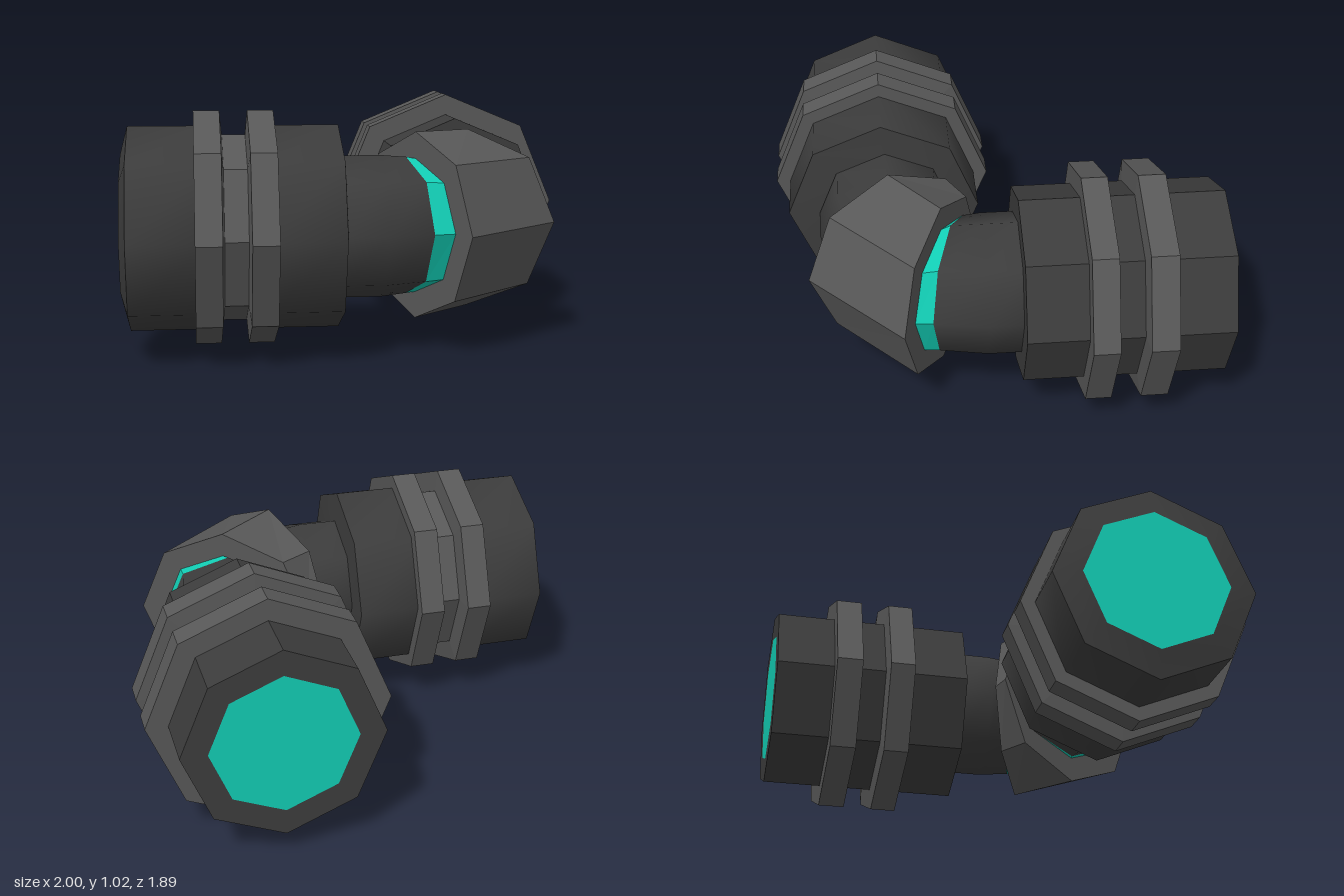
import * as THREE from 'three';
import { toCreasedNormals } from 'three/addons/utils/BufferGeometryUtils.js';

const SIDES = 8;
const darkFlat = new THREE.MeshStandardMaterial({ color: 0x3c3c3c, flatShading: true });
const dark = new THREE.MeshStandardMaterial({ color: 0x3c3c3c });
const grey = new THREE.MeshStandardMaterial({ color: 0x585858, flatShading: true });
const teal = new THREE.MeshStandardMaterial({ color: 0x12cdb4, flatShading: true });

// Octagonal section: centre (x, y, z), heading (dx, dz) of its outer corner, radius
const section = (x, y, z, dx, dz, r) => {
  const l = Math.hypot(dx, dz);
  return { x, y, z, dx: dx / l, dz: dz / l, r };
};

// Skin a run of sections
function loft(name, sections, material) {
  const pos = [], idx = [];
  for (const s of sections) {
    for (let j = 0; j < SIDES; j++) {
      const a = (j / SIDES) * Math.PI * 2, c = Math.cos(a) * s.r;
      pos.push(s.x + s.dx * c, s.y + Math.sin(a) * s.r, s.z + s.dz * c);
    }
  }
  for (let i = 0; i < sections.length - 1; i++) {
    for (let j = 0; j < SIDES; j++) {
      const k = (j + 1) % SIDES;
      const a = i * SIDES + j, b = a + SIDES, c = i * SIDES + k, d = c + SIDES;
      if (sections[i].r > 0) idx.push(a, d, c);
      if (sections[i + 1].r > 0) idx.push(a, b, d);
    }
  }
  let geo = new THREE.BufferGeometry();
  geo.setAttribute('position', new THREE.Float32BufferAttribute(pos, 3));
  geo.setIndex(idx);
  geo = material.flatShading ? geo.toNonIndexed() : toCreasedNormals(geo, 0.9);
  if (material.flatShading) geo.computeVertexNormals();
  const mesh = new THREE.Mesh(geo, material);
  mesh.name = name;
  return mesh;
}

// Sections along each arm, from [position, radius] pairs
const alongX = (profile) => profile.map(([x, r]) => section(x, 0.52, 0.455, 0, 1, r));
const alongZ = (profile) => profile.map(([z, r]) => section(0.49, 0.51, z, 1, 0, r));

export function createModel() {
  const model = new THREE.Group();
  const Y = 0.515;

  // Right-hand arm, running along x
  const sideArm = new THREE.Group();
  sideArm.name = 'sideCoupling';
  sideArm.add(
    loft('outerSleeve', alongX([[-1, 0.31], [-0.97, 0.428], [-0.65, 0.428], [-0.65, 0]]), dark),
    loft('innerSleeve', alongX([[-0.42, 0], [-0.42, 0.428], [-0.1, 0.428], [-0.085, 0.29]]), dark),
    loft('groove', alongX([[-0.65, 0.39], [-0.42, 0.39]]), grey),
    loft('outerFlange', alongX([[-0.7, 0.4], [-0.7, 0.49], [-0.592, 0.49], [-0.582, 0.38]]), grey),
    loft('innerFlange', alongX([[-0.488, 0.38], [-0.478, 0.49], [-0.37, 0.49], [-0.37, 0.4]]), grey),
    loft('endDisc', alongX([[-1, 0], [-1, 0.31]]), teal),
  );

  // Rear arm, running along z
  const rearArm = new THREE.Group();
  rearArm.name = 'rearCoupling';
  rearArm.add(
    loft('sleeve', alongZ([[-0.09, 0.28], [-0.09, 0.416], [-0.95, 0.416], [-0.95, 0.305]]), darkFlat),
    loft('innerFlange', alongZ([[-0.345, 0.4], [-0.345, 0.51], [-0.455, 0.51], [-0.465, 0.4]]), grey),
    loft('outerFlange', alongZ([[-0.57, 0.4], [-0.58, 0.51], [-0.695, 0.51], [-0.695, 0.4]]), grey),
    loft('endDisc', alongZ([[-0.95, 0.305], [-0.95, 0]]), teal),
  );

  // Elbow: necks, wedge-shaped coloured bands and the bent collar
  const neckA = section(0.19, Y, 0.427, 0.278, 0.96, 0.292);
  const neckB = section(0.475, Y, 0.188, 0.949, 0.316, 0.292);
  const endA = section(0.23, Y, 0.435, 0.36, 0.71, 0.285);
  const endB = section(0.49, Y, 0.2275, 0.7, 0.345, 0.285);
  const elbow = new THREE.Group();
  elbow.name = 'elbow';
  elbow.add(
    loft('sideNeck', [section(-0.1, Y, 0.4425, 0, 1, 0.302), section(0.08, Y, 0.4425, 0, 1, 0.302), neckA], dark),
    loft('rearNeck', [neckB, section(0.49, Y, 0.05, 1, 0, 0.302), section(0.49, Y, -0.1, 1, 0, 0.302)], dark),
    loft('sideBand', [neckA, endA], teal),
    loft('rearBand', [endB, neckB], teal),
    loft('collar', [
      { ...endA, r: 0.27 }, { ...endA, r: 0.398 }, { ...endB, r: 0.39 }, { ...endB, r: 0.27 },
    ], grey),
  );

  model.add(sideArm, rearArm, elbow);
  return model;
}
